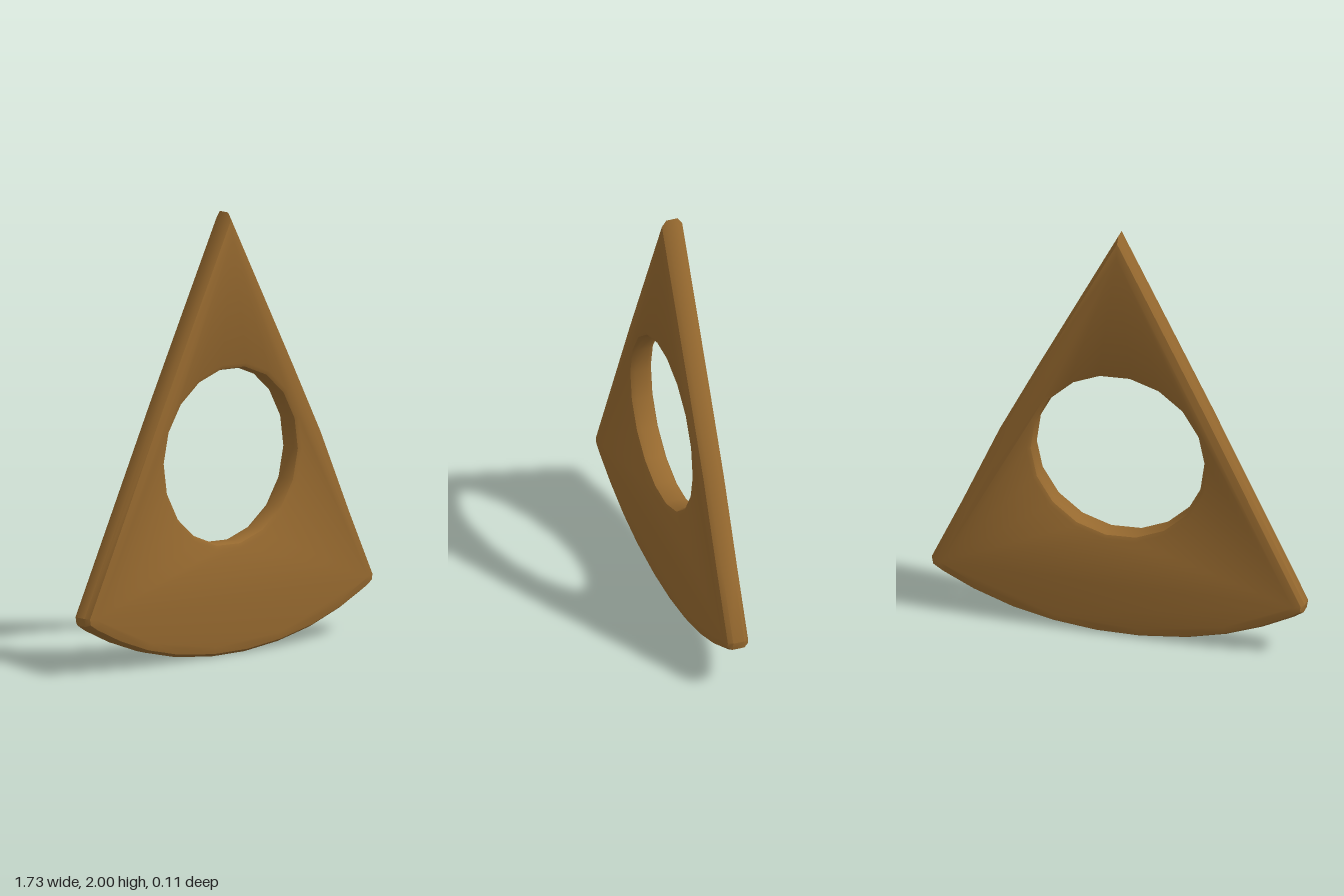
import * as THREE from 'three';
import { toCreasedNormals } from 'three/addons/utils/BufferGeometryUtils.js';

// Move a closed loop towards the material on its left side, with full miters.
function insetLoop(points, d) {
  const n = points.length;
  return points.map((p, i) => {
    const a = p.clone().sub(points[(i + n - 1) % n]).normalize();
    const b = points[(i + 1) % n].clone().sub(p).normalize();
    const na = new THREE.Vector2(-a.y, a.x);
    const nb = new THREE.Vector2(-b.y, b.x);
    return na.clone().add(nb).multiplyScalar(d / (1 + na.dot(nb))).add(p);
  });
}

// Rounded edge: [inset, z] from the front face to the back face.
const edgeProfile = (w) => [
  [w, 0.056], [w * 0.3, 0.048], [0, 0.027],
  [0, -0.027], [w * 0.3, -0.048], [w, -0.056],
];

export function createModel() {
  const wood = new THREE.MeshStandardMaterial({ color: 0x96692f });
  wood.name = 'brown wood';

  // Wedge outline, counter-clockwise from the tip
  const outline = [
    [0.012, 1.994], [-0.012, 1.994], [-0.42, 1.17], [-0.863, 0.265], [-0.857, 0.228],
    [-0.81, 0.198], [-0.67, 0.13], [-0.5, 0.068], [-0.32, 0.026], [-0.1, 0.002],
    [0.1, 0.002], [0.3, 0.024], [0.49, 0.066], [0.67, 0.13], [0.81, 0.198],
    [0.857, 0.228], [0.863, 0.265], [0.72, 0.57], [0.55, 0.95], [0.385, 1.27],
  ].map(([x, y]) => new THREE.Vector2(x, y));
  // A single sharp tip keeps the inset edges from crossing
  outline.splice(0, 2, new THREE.Vector2(0, 2));

  // Round hole, clockwise
  const sides = 18;
  const hole = Array.from({ length: sides }, (_, i) => {
    const a = (-(i + 0.1) / sides) * Math.PI * 2;
    return new THREE.Vector2(-0.003 + 0.396 * Math.cos(a), 0.9 + 0.397 * Math.sin(a));
  });

  const positions = [];
  const put = (p, z) => positions.push(p.x, p.y, z);

  // Rounded walls around the outside and inside the hole
  const addWall = (loop, profile) => {
    const rings = profile.map(([d, z]) => ({ pts: insetLoop(loop, d), z }));
    for (let k = 0; k < rings.length - 1; k++) {
      const A = rings[k], B = rings[k + 1];
      for (let i = 0; i < loop.length; i++) {
        const j = (i + 1) % loop.length;
        put(A.pts[i], A.z); put(B.pts[i], B.z); put(B.pts[j], B.z);
        put(A.pts[i], A.z); put(B.pts[j], B.z); put(A.pts[j], A.z);
      }
    }
    return rings[0].pts;
  };
  const faceOutline = addWall(outline, edgeProfile(0.045));
  const faceHole = addWall(hole, edgeProfile(0.025));

  // Flat front and back faces
  const facePoints = [...faceOutline, ...faceHole];
  for (const [a, b, c] of THREE.ShapeUtils.triangulateShape(faceOutline, [faceHole])) {
    for (const i of [a, b, c]) put(facePoints[i], 0.056);
    for (const i of [a, c, b]) put(facePoints[i], -0.056);
  }

  const geometry = new THREE.BufferGeometry();
  geometry.setAttribute('position', new THREE.Float32BufferAttribute(positions, 3));
  geometry.computeVertexNormals();

  const plate = new THREE.Mesh(toCreasedNormals(geometry, 0.6), wood);
  plate.name = 'wedgePlate';

  const model = new THREE.Group();
  model.name = 'woodenWedge';
  model.add(plate);
  return model;
}
